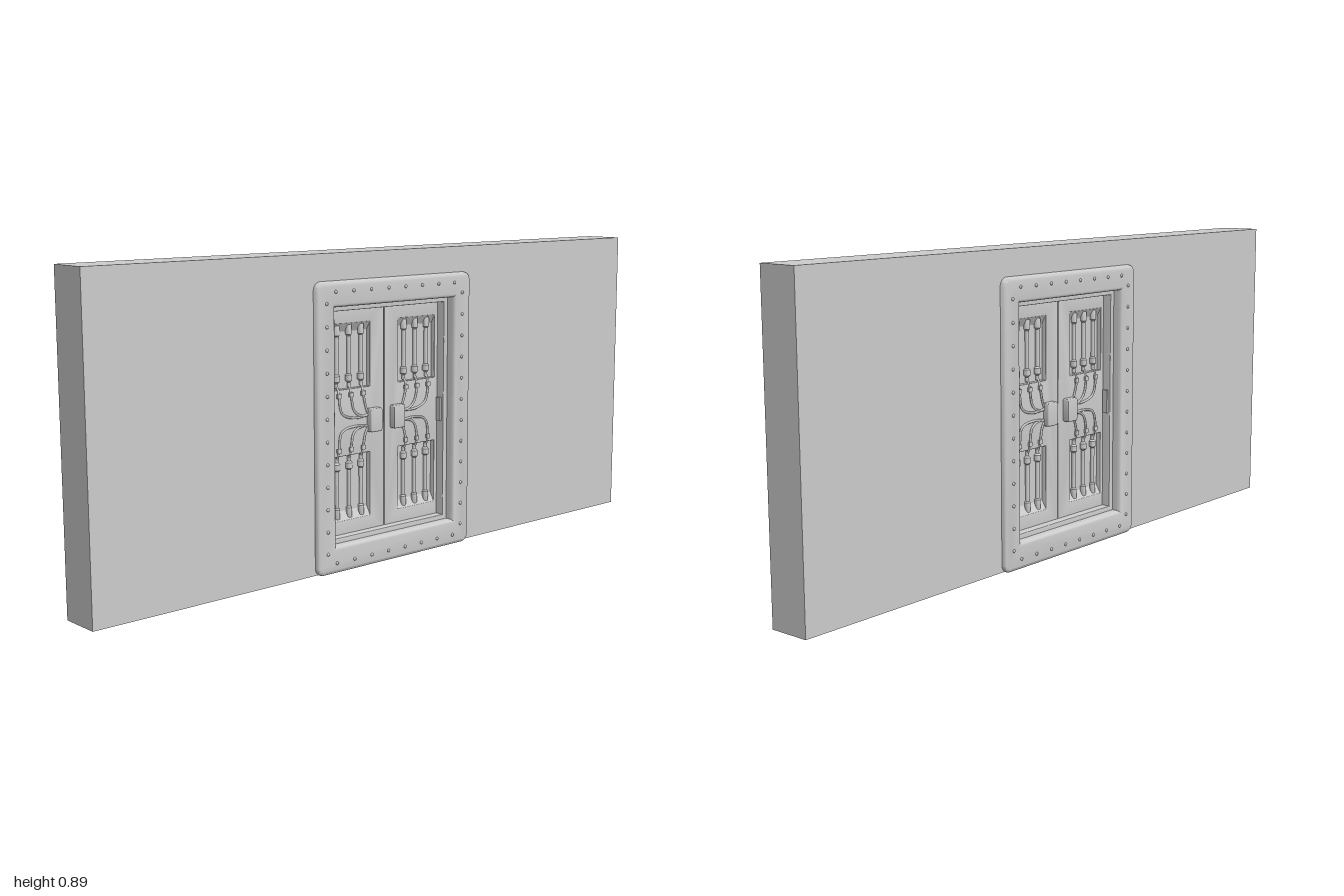
import * as THREE from 'three';
import { toCreasedNormals } from 'three/addons/utils/BufferGeometryUtils.js';

const grey = new THREE.MeshStandardMaterial({ color: 0xcccccc });

function add(parent, name, geometry, x = 0, y = 0, z = 0) {
  const mesh = new THREE.Mesh(geometry, grey);
  mesh.name = name;
  mesh.position.set(x, y, z);
  parent.add(mesh);
  return mesh;
}

// Rectangle outline with optional rounded corners
function rect(x0, x1, y0, y1, r = 0, Type = THREE.Shape) {
  const s = new Type();
  if (!r) {
    s.moveTo(x0, y0).lineTo(x1, y0).lineTo(x1, y1).lineTo(x0, y1).closePath();
    return s;
  }
  s.absarc(x1 - r, y0 + r, r, -Math.PI / 2, 0);
  s.absarc(x1 - r, y1 - r, r, 0, Math.PI / 2);
  s.absarc(x0 + r, y1 - r, r, Math.PI / 2, Math.PI);
  s.absarc(x0 + r, y0 + r, r, Math.PI, Math.PI * 1.5);
  s.closePath();
  return s;
}

// Plate centred on z = 0, with rectangular holes and a rounded rim
function plate(outline, holes, depth, bevel = 0) {
  outline.holes = holes.map(h => rect(...h, 0, THREE.Path));
  const g = new THREE.ExtrudeGeometry(outline, {
    depth: depth - 2 * bevel, bevelEnabled: bevel > 0, bevelSize: bevel,
    bevelThickness: bevel, bevelOffset: -bevel, bevelSegments: 3, curveSegments: 6,
  });
  g.translate(0, 0, -depth / 2 + bevel);
  return toCreasedNormals(g, 0.6);
}

const FACE = 0.018, FLOOR = 0.004;
const UPPER = [0.505, 0.69], LOWER = [0.13, 0.315];

// Piston rod: thick sleeve, thin shaft and a collar; tip towards +y
const rodGeometry = toCreasedNormals(new THREE.LatheGeometry([
  [0, -0.088], [0.008, -0.088], [0.009, -0.084], [0.009, -0.06], [0.006, -0.056],
  [0.006, 0.05], [0.01, 0.054], [0.01, 0.07], [0.005, 0.075], [0.005, 0.088], [0, 0.088],
].map(p => new THREE.Vector2(...p)), 12), 0.6);

const rivetGeometry = new THREE.SphereGeometry(0.005, 10, 6);

function cable(parent, points) {
  const curve = new THREE.CatmullRomCurve3(points.map(p => new THREE.Vector3(...p)));
  add(parent, 'cable', new THREE.TubeGeometry(curve, 24, 0.0035, 6));
}

// Details of one door leaf on one face; s picks the leaf
function leafDetails(s) {
  const leaf = new THREE.Group();
  leaf.name = 'leafDetails';
  for (const [[y0, y1], dir] of [[UPPER, -1], [LOWER, 1]]) {
    for (const x of [0.083, 0.128, 0.173]) {
      const rod = add(leaf, 'pistonRod', rodGeometry, s * x, (y0 + y1) / 2, 0.01);
      if (dir < 0) rod.rotation.z = Math.PI;
    }
    // Sloped end of the recess
    const wedge = new THREE.Shape();
    wedge.moveTo(0, 0).lineTo(0.024, 0).lineTo(0, FACE - FLOOR).closePath();
    const g = new THREE.ExtrudeGeometry(wedge, { depth: 0.146, bevelEnabled: false });
    g.translate(0, 0, -0.073);
    // Put the wedge length along y and its height along z
    g.applyMatrix4(new THREE.Matrix4().makeBasis(
      new THREE.Vector3(0, dir, 0), new THREE.Vector3(0, 0, 1), new THREE.Vector3(dir, 0, 0)));
    add(leaf, 'recessRamp', g, s * 0.128, dir > 0 ? y0 : y1, FLOOR);
  }
  // Cables from the handle to the rods
  const z = FACE + 0.002;
  for (const [x, bend] of [[0.083, 0.005], [0.128, 0.014], [0.173, 0.026]]) {
    cable(leaf, [[s * x, 0.52, 0.01], [s * x, 0.49, z], [s * (x - 0.012), 0.445 - bend * 0.3, z],
      [s * (x * 0.6 + 0.01), 0.425 - bend * 0.2, z], [s * 0.03, 0.43, z]]);
    cable(leaf, [[s * x, 0.3, 0.01], [s * x, 0.33, z], [s * (x - 0.01), 0.37 + bend * 0.5, z],
      [s * (x * 0.6 + 0.01), 0.388 + bend * 0.3, z], [s * 0.03, 0.385, z]]);
    add(leaf, 'cableClamp', new THREE.BoxGeometry(0.014, 0.012, 0.008), s * x, 0.488, FACE + 0.002);
    add(leaf, 'cableClamp', new THREE.BoxGeometry(0.014, 0.012, 0.008), s * x, 0.332, FACE + 0.002);
  }
  // Handle block beside the seam
  add(leaf, 'handle', plate(rect(-0.022, 0.022, -0.034, 0.034, 0.006), [], 0.022, 0.004),
    s * 0.045, 0.408, FACE + 0.009);
  // Latch on the jamb
  add(leaf, 'jambLatch', new THREE.BoxGeometry(0.008, 0.07, 0.016), s * 0.21, 0.41, 0.03);
  return leaf;
}

// Everything that appears on both faces of the door
function doorFace() {
  const face = new THREE.Group();
  face.name = 'doorFace';
  face.add(leafDetails(1), leafDetails(-1));
  const rivet = (x, y) => {
    add(face, 'rivet', rivetGeometry, x, y, 0.0725);
  };
  for (let i = 0; i < 8; i++) {
    const x = -0.2275 + i * 0.065;
    rivet(x, 0.03);
    rivet(x, 0.786);
  }
  for (let i = 0; i < 12; i++) {
    rivet(-0.26, 0.06 + i * 0.0632);
    rivet(0.26, 0.06 + i * 0.0632);
  }
  return face;
}

export function createModel() {
  const model = new THREE.Group();
  model.name = 'wallWithDoubleDoor';

  // Built facing z, then turned so the door faces x
  const body = new THREE.Group();
  body.name = 'body';
  body.rotation.y = Math.PI / 2;
  model.add(body);

  add(body, 'wall', plate(rect(-1, 1, 0.004, 0.89), [[-0.25, 0.25, 0.055, 0.765]], 0.12));
  add(body, 'doorFrame', plate(rect(-0.296, 0.296, 0, 0.815, 0.025),
    [[-0.228, 0.228, 0.076, 0.743]], 0.146, 0.01));
  add(body, 'doorStop', plate(rect(-0.24, 0.24, 0.065, 0.755),
    [[-0.213, 0.213, 0.09, 0.729]], 0.09, 0.002));

  // Two leaves with recessed panels over a thin core
  for (const s of [1, -1]) {
    const [x0, x1] = s > 0 ? [0.0015, 0.222] : [-0.222, -0.0015];
    const [h0, h1] = s > 0 ? [0.055, 0.201] : [-0.201, -0.055];
    add(body, 'doorLeaf', plate(rect(x0, x1, 0.08, 0.74),
      [[h0, h1, ...UPPER], [h0, h1, ...LOWER]], 2 * FACE, 0.0015));
  }
  add(body, 'doorCore', new THREE.BoxGeometry(0.44, 0.65, 2 * FLOOR), 0, 0.41, 0);

  const outer = doorFace();
  const inner = doorFace();
  inner.rotation.y = Math.PI;
  body.add(outer, inner);
  return model;
}
